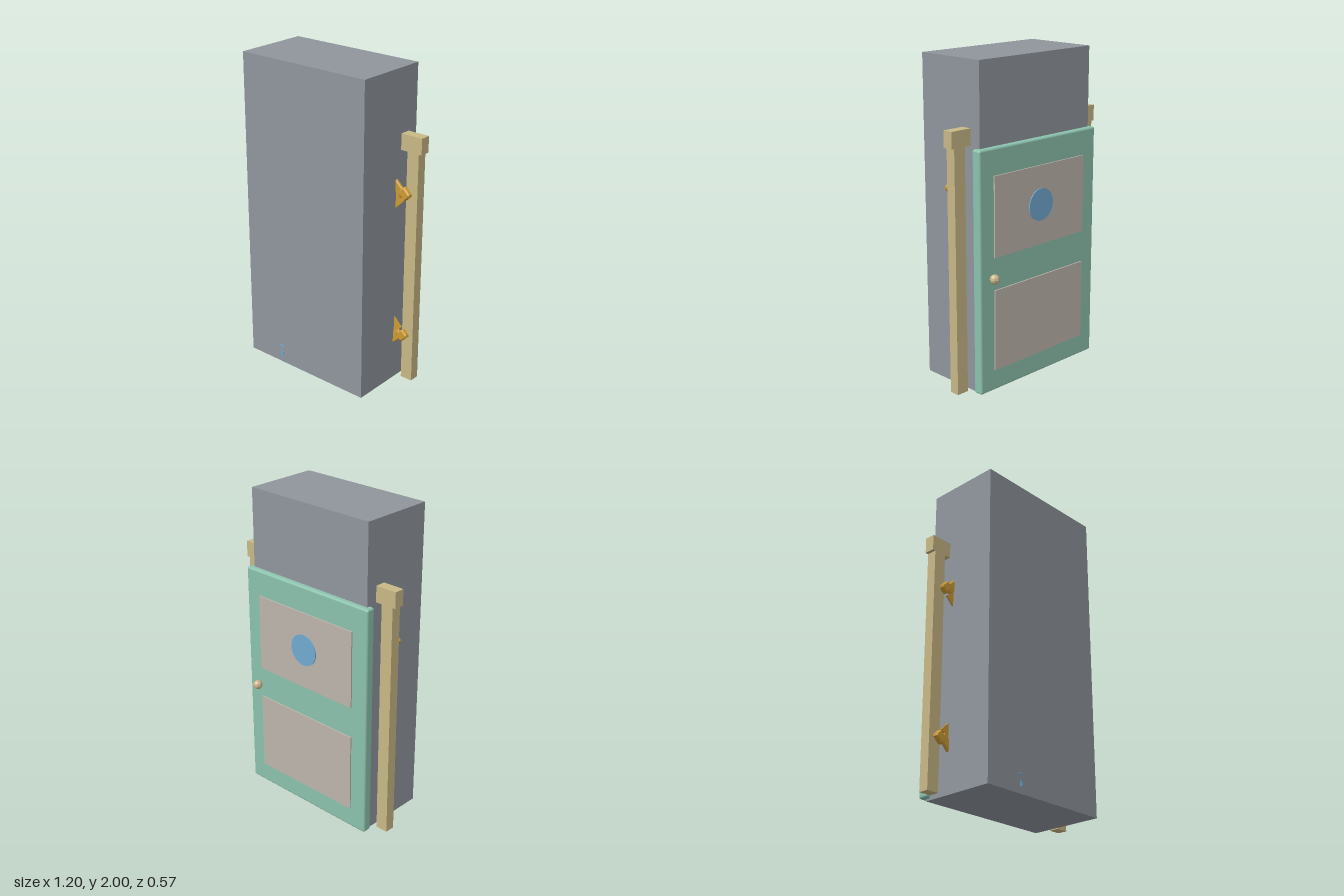
import * as THREE from 'three';
import { RoundedBoxGeometry } from 'three/addons/geometries/RoundedBoxGeometry.js';

const mat = (name, color) => Object.assign(new THREE.MeshStandardMaterial({ color }), { name });

export function createModel() {
  const stone = mat('grey wall', 0x90959d);
  const green = mat('door green', 0x8cc2ae);
  const panelGrey = mat('panel grey', 0xbdb5ad);
  const wood = mat('frame wood', 0xc8b886);
  const brass = mat('bracket gold', 0xcb9a34);
  const knobTan = mat('knob tan', 0xcbb78e);
  knobTan.flatShading = true;
  const glass = mat('window blue', 0x72aad0);

  const model = new THREE.Group();
  const add = (name, geo, material, x, y, z, parent = model) => {
    const m = new THREE.Mesh(geo, material);
    m.name = name;
    m.position.set(x, y, z);
    parent.add(m);
    return m;
  };
  const box = (w, h, d) => new THREE.BoxGeometry(w, h, d);

  // main block
  add('wallBlock', box(0.915, 2, 0.48), stone, -0.002, 1, 0.04);

  // door with two raised panels, round window and knob, facing -z
  add('door', new RoundedBoxGeometry(0.98, 1.49, 0.063, 2, 0.014), green, 0, 0.757, -0.201);
  add('upperPanel', box(0.76, 0.49, 0.009), panelGrey, 0, 1.095, -0.2365);
  add('lowerPanel', box(0.76, 0.505, 0.009), panelGrey, 0, 0.397, -0.2365);
  const pane = add('roundWindow', new THREE.CylinderGeometry(0.1, 0.1, 0.006, 32), glass, 0, 1.1, -0.244);
  pane.rotation.x = Math.PI / 2;
  add('doorKnob', new THREE.SphereGeometry(0.03, 8, 6), knobTan, 0.4, 0.73, -0.258);

  // frame: lintel through the block and a post on either side
  add('lintel', box(1.2, 0.1, 0.066), wood, 0, 1.56, -0.093);
  for (const s of [-1, 1]) {
    add(s > 0 ? 'leftPost' : 'rightPost', box(0.08, 1.5, 0.064), wood, s * 0.54, 0.76, -0.093);
  }

  // corner brackets: a thin triangular fin with a thicker faceted head
  const outline = (pts) => new THREE.Shape(pts.map(([x, y]) => new THREE.Vector2(x, y)));
  const slab = (pts, depth, bevel) => {
    const g = new THREE.ExtrudeGeometry(outline(pts), {
      depth, bevelEnabled: bevel > 0, bevelSize: bevel, bevelThickness: bevel, bevelSegments: 1, bevelOffset: -bevel,
    });
    g.translate(0, 0, -depth / 2);
    return g;
  };
  const finGeo = slab([[0.43, -0.13], [0.51, -0.05], [0.43, 0.03]], 0.01, 0);
  const headGeo = slab([[0.483, 0.014], [0.507, 0.039], [0.523, 0.039], [0.558, 0.004],
    [0.556, -0.012], [0.529, -0.039], [0.518, -0.039], [0.483, -0.005]], 0.02, 0.008);
  const wedgeGeo = slab([[0.43, 0.08], [0.46, 0.073], [0.513, 0.02], [0.513, -0.008],
    [0.49, -0.03], [0.43, 0.01]], 0.012, 0.006);
  for (const s of [-1, 1]) {
    for (const [y, turn, z] of [[1.265, 0, -0.026], [0.325, 1, -0.039]]) {
      const bracket = new THREE.Group();
      bracket.name = (s > 0 ? 'left' : 'right') + (turn ? 'Lower' : 'Upper') + 'Bracket';
      add('fin', finGeo, brass, 0, 0, 0, bracket);
      add('head', headGeo, brass, 0, 0, 0, bracket);
      add('wedge', wedgeGeo, brass, 0, 0, 0, bracket);
      bracket.scale.set(s, turn ? -1 : 1, 1);
      bracket.position.set(0, y, z);
      model.add(bracket);
    }
  }

  // small blue marks low on the front
  add('frontMarkBar', box(0.045, 0.008, 0.006), glass, -0.19, 0.117, 0.281);
  add('frontMarkSquare', box(0.02, 0.035, 0.006), glass, -0.192, 0.06, 0.281);

  return model;
}
